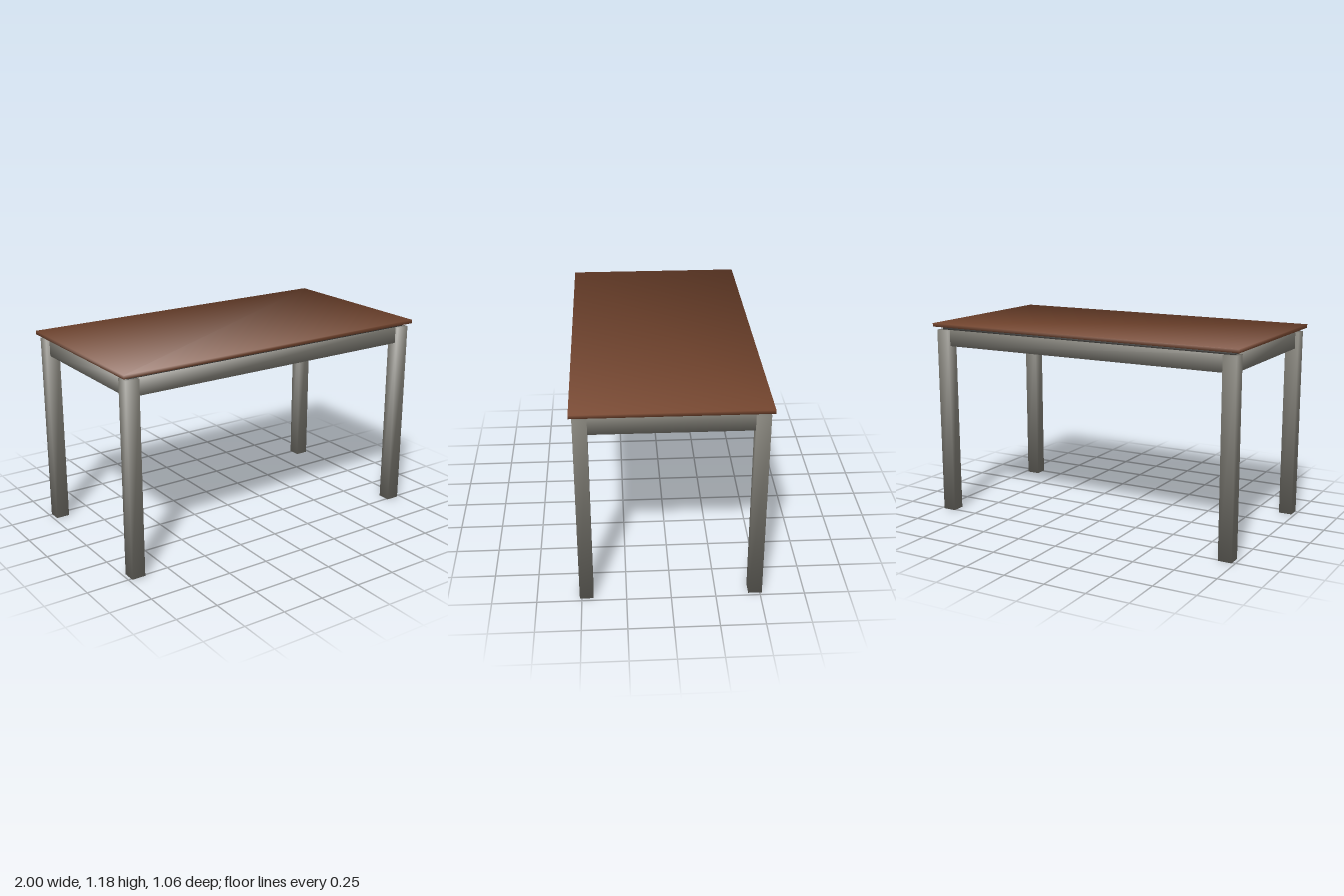
import * as THREE from 'three';

const steel = new THREE.MeshStandardMaterial({ color: 0x7f7d75 });
steel.name = 'grey steel';
const wood = new THREE.MeshStandardMaterial({ color: 0x7b4a32 });
wood.name = 'brown wood';
const charcoal = new THREE.MeshStandardMaterial({ color: 0x4a4845 });
charcoal.name = 'charcoal panel';

// Box whose corners share one smooth normal, pointing diagonally outward
function smoothBox(name, material, size, position) {
  const geometry = new THREE.BoxGeometry(...size);
  const corners = geometry.attributes.position;
  const n = new THREE.Vector3();
  for (let i = 0; i < corners.count; i++) {
    n.set(Math.sign(corners.getX(i)), Math.sign(corners.getY(i)), Math.sign(corners.getZ(i))).normalize();
    geometry.attributes.normal.setXYZ(i, n.x, n.y, n.z);
  }
  const mesh = new THREE.Mesh(geometry, material);
  mesh.name = name;
  mesh.position.set(...position);
  return mesh;
}

export function createModel() {
  const table = new THREE.Group();
  table.name = 'table';

  const legHeight = 1.138, legX = 0.94, legZ = 0.473, legWidth = 0.081, legDepth = 0.077;
  const apronHeight = 0.098, apronThickness = 0.04;
  const apronY = legHeight - apronHeight / 2;

  // Table top and the thinner panel beneath it
  table.add(smoothBox('tableTop', wood, [2, 0.021, 1.056], [0, 1.1675, 0]));
  table.add(smoothBox('underPanel', charcoal, [1.914, 0.02, 0.974], [0, 1.147, 0]));

  // Four square legs
  for (const [sideName, sx] of [['Left', 1], ['Right', -1]]) {
    for (const [endName, sz] of [['front', 1], ['back', -1]]) {
      table.add(smoothBox(`${endName}${sideName}Leg`, steel,
        [legWidth, legHeight, legDepth], [sx * legX, legHeight / 2, sz * legZ]));
    }
  }

  // Aprons running between the legs
  for (const s of [1, -1]) {
    table.add(smoothBox(s > 0 ? 'frontApron' : 'backApron', steel,
      [2 * legX - legWidth, apronHeight, apronThickness], [0, apronY, s * legZ]));
    table.add(smoothBox(s > 0 ? 'leftApron' : 'rightApron', steel,
      [apronThickness, apronHeight, 2 * legZ - legDepth], [s * legX, apronY, 0]));
  }
  return table;
}
